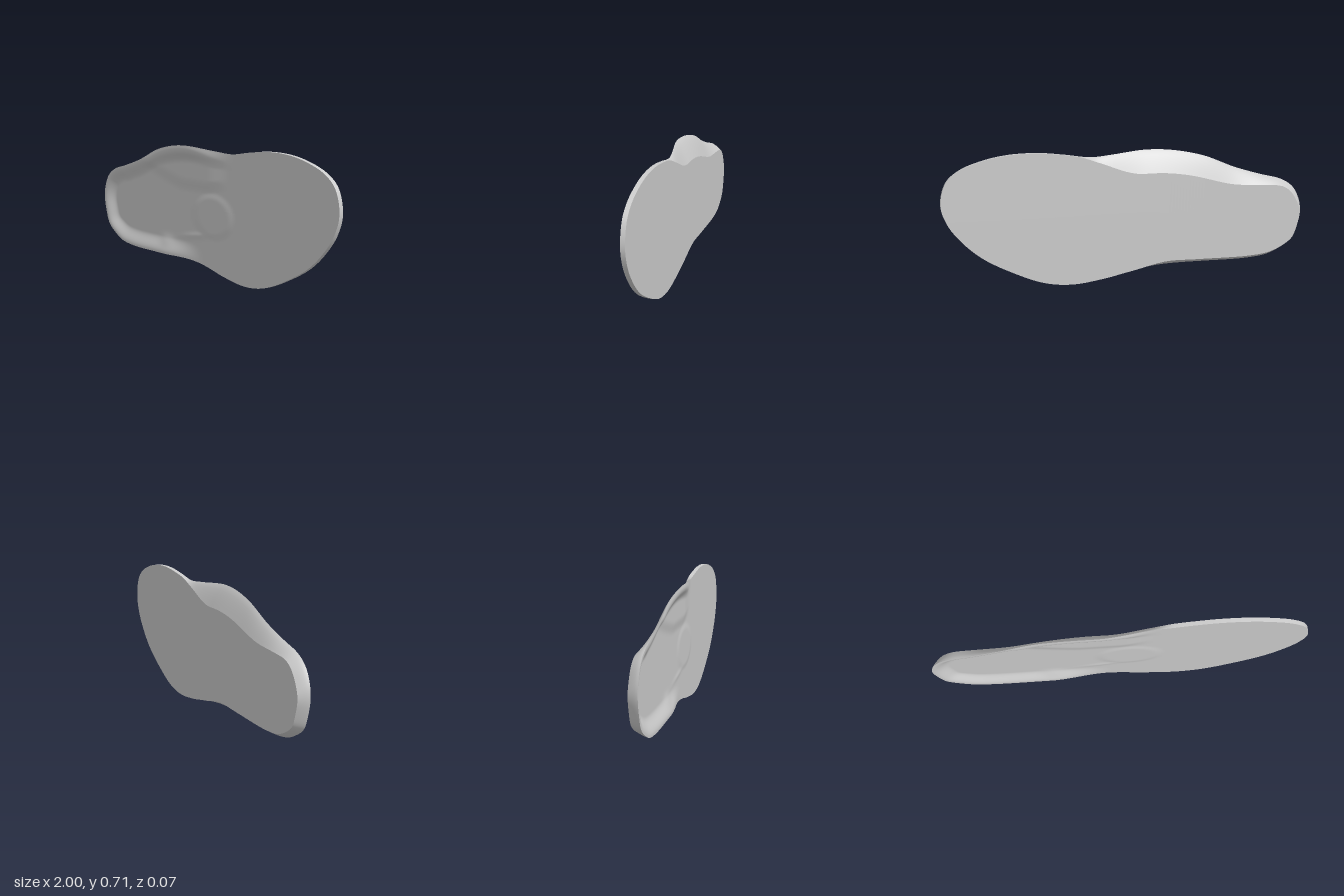
import * as THREE from 'three';

const AROUND = 260, RINGS = 44;
const BACK = -0.033, FLOOR = -0.01;
const step = (a, b, v) => {           // smooth ramp, also valid for a > b
  const t = Math.min(1, Math.max(0, (v - a) / (b - a)));
  return t * t * (3 - 2 * t);
};
const blob = (x, y, cx, cy, rx, ry) => Math.exp(-(((x - cx) / rx) ** 2) - ((y - cy) / ry) ** 2);

// Upper rim of the insole, counter-clockwise from the toe tip
const RIM = [
  [1, .46], [.97, .575], [.9, .635], [.78, .68], [.65, .704], [.5, .708], [.36, .694], [.22, .675],
  [.1, .682], [-.1, .698], [-.25, .69], [-.42, .655], [-.6, .585], [-.75, .54], [-.88, .505],
  [-.95, .46], [-.99, .39], [-1, .32], [-.98, .23], [-.95, .165], [-.88, .115], [-.8, .08],
  [-.68, .065], [-.4, .065], [-.15, .067], [0, .05], [.15, .02], [.33, 0], [.48, .02],
  [.65, .09], [.8, .175], [.9, .265], [.97, .36],
];

// 1 on the arch side, 0 on the outer side
const archSide = (y) => step(.24, .46, y);

// Height of the rim edge: tall arch flange, heel cup, flat forefoot
function rimHeight(x, y) {
  const arch = FLOOR + .043 * step(.24, -.12, x) - .013 * step(-.12, -.55, x);
  const outer = FLOOR + .03 * step(-.02, -.38, x);
  return THREE.MathUtils.lerp(outer, arch, archSide(y));
}

// The sole plate is narrower than the rim under the arch and heel
function soleEdge(p) {
  const a = archSide(p.y);
  const arch = .12 * step(.3, -.08, p.x) * (1 - .7 * step(-.4, -.9, p.x));
  const outer = .025 * step(.02, -.25, p.x) * (1 - step(.08, .25, p.y));
  return new THREE.Vector3(p.x + .025 * step(-.85, -1, p.x), p.y - arch * a + outer, BACK);
}

// Centre line towards which the surfaces are filled
function spine(p) {
  const x = THREE.MathUtils.clamp(p.x, -.72, .62);
  return new THREE.Vector3(x, .37 - .06 * step(0, -.7, x), 0);
}

// Footbed relief: cup walls, arch pad, forefoot pad and small outer ridges
function footbed(p, rim, edgeDistance) {
  const { x, y } = p;
  let z = FLOOR + (rimHeight(rim.x, rim.y) - FLOOR) * (1 - step(.008, .095, edgeDistance));
  const crease = .445 + .35 * Math.max(0, -.2 - x) ** 1.3 + .3 * Math.max(0, x) ** 1.3;
  const nearEdge = step(0, .05, edgeDistance);
  z += .01 * step(crease, crease + .07, y) * step(.2, .02, x) * step(-.64, -.5, x) * nearEdge;
  z += .004 * (1 - step(.7, 1, Math.hypot((x - .06) / .19, (y - .33) / .13)));
  z += .006 * blob(x, y, -.36, .14, .06, .03) * nearEdge;
  z += .003 * blob(x, y, -.1, .205 + .15 * (x + .1), .1, .015);
  return z;
}

// Skin between successive closed rings of points
function loft(name, rings) {
  const n = rings[0].length, index = [];
  for (let r = 0; r < rings.length - 1; r++) {
    for (let i = 0; i < n; i++) {
      const j = (i + 1) % n, a = r * n + i, b = r * n + j, c = b + n, d = a + n;
      index.push(a, b, c, a, c, d);
    }
  }
  const geometry = new THREE.BufferGeometry().setFromPoints(rings.flat());
  geometry.setIndex(index);
  geometry.computeVertexNormals();
  const mesh = new THREE.Mesh(geometry, new THREE.MeshStandardMaterial({ color: 0xcccccc }));
  mesh.name = name;
  return mesh;
}

export function createModel() {
  const group = new THREE.Group();
  group.name = 'insole';

  const curve = new THREE.CatmullRomCurve3(RIM.map(([x, y]) => new THREE.Vector3(x, y, 0)), true);
  const rim = curve.getSpacedPoints(AROUND).slice(0, AROUND);
  const sole = rim.map(soleEdge);

  // Footbed, from the rim inwards
  const top = [];
  for (let r = 0; r <= RINGS; r++) {
    top.push(rim.map((p) => {
      const s = spine(p), q = p.clone().lerp(s, (r / RINGS) ** 1.25);
      q.z = footbed(q, p, q.distanceTo(p));
      return q;
    }));
  }
  group.add(loft('footbed', top));

  // Side wall, flaring out from the sole to the rim
  const wall = [];
  for (let k = 0; k <= 6; k++) {
    const t = k / 6;
    wall.push(rim.map((p, i) => {
      const q = sole[i].clone().lerp(p, 1 - (1 - t) ** 1.3);
      q.z = THREE.MathUtils.lerp(BACK, top[0][i].z, t);
      return q;
    }));
  }
  group.add(loft('sideWall', wall));

  // Flat underside
  const centre = rim.map((p) => spine(p).setZ(BACK));
  group.add(loft('underside', [centre, sole]));

  return group;
}
